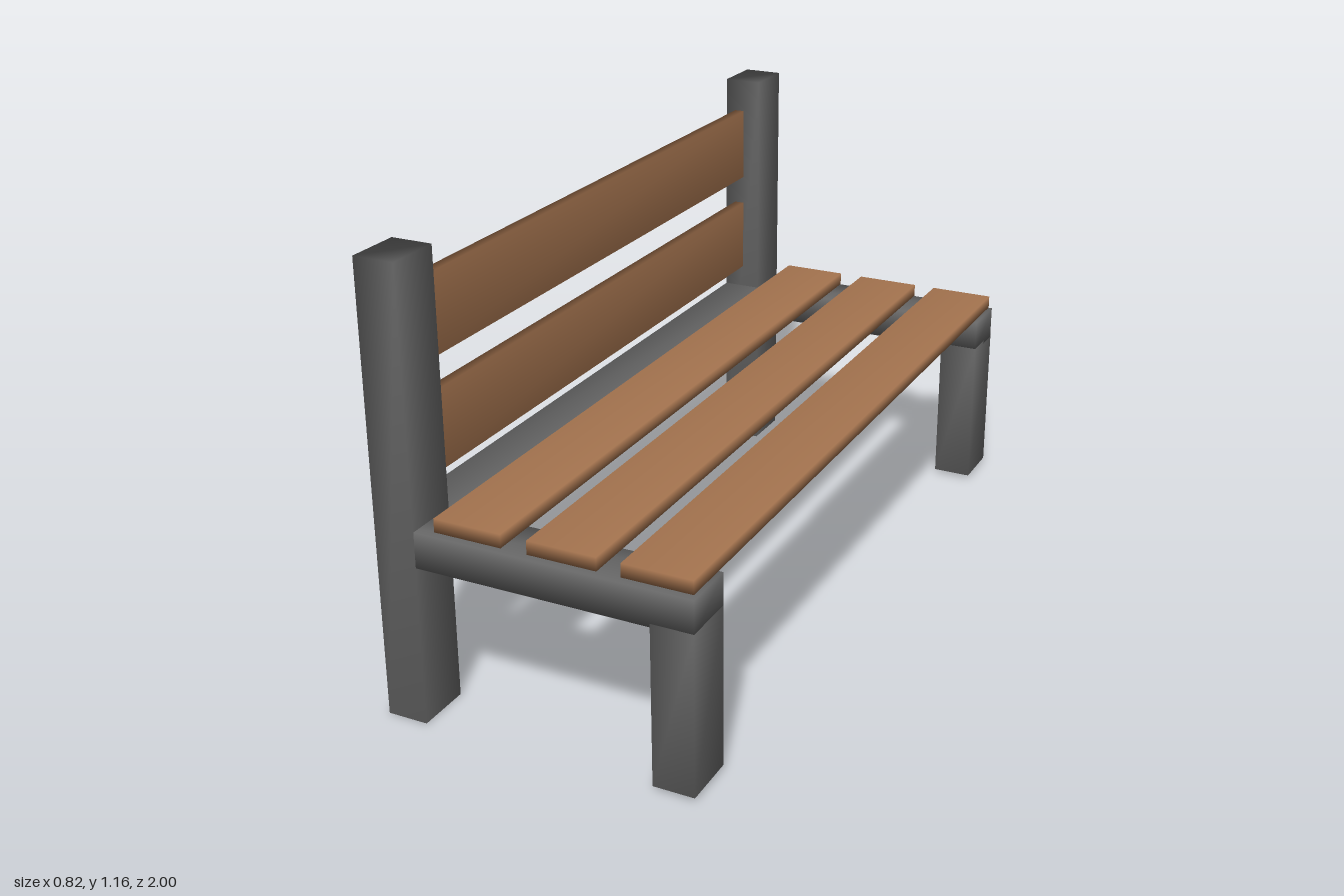
import * as THREE from 'three';
import { mergeVertices } from 'three/addons/utils/BufferGeometryUtils.js';

const metal = new THREE.MeshStandardMaterial({ color: 0x666666 });
const wood = new THREE.MeshStandardMaterial({ color: 0xa5744f });

// Box between two corners, with normals shared across its edges
function bar(name, material, [x0, x1], [y0, y1], [z0, z1]) {
  let geometry = new THREE.BoxGeometry(x1 - x0, y1 - y0, z1 - z0);
  geometry.deleteAttribute('normal');
  geometry.deleteAttribute('uv');
  geometry = mergeVertices(geometry);
  geometry.computeVertexNormals();
  const mesh = new THREE.Mesh(geometry, material);
  mesh.position.set((x0 + x1) / 2, (y0 + y1) / 2, (z0 + z1) / 2);
  mesh.name = name;
  return mesh;
}

export function createModel() {
  const bench = new THREE.Group();
  bench.name = 'bench';

  // End frames: tall back post, short front leg and the beam joining them
  for (const side of [-1, 1]) {
    const span = (inner, outer) => (side > 0 ? [inner, outer] : [-outer, -inner]);
    const frame = new THREE.Group();
    frame.name = side > 0 ? 'frontEndFrame' : 'rearEndFrame';
    frame.add(
      bar('backPost', metal, [-0.413, -0.306], [0, 1.16], span(0.855, 1)),
      bar('seatLeg', metal, [0.305, 0.412], [0.01, 0.427], span(0.855, 1)),
      bar('sideBeam', metal, [-0.413, 0.412], [0.418, 0.51], span(0.856, 0.998))
    );
    bench.add(frame);
  }

  // Long beam under the backrest
  bench.add(bar('backBeam', metal, [-0.413, -0.306], [0.418, 0.51], [-0.86, 0.86]));

  // Seat slats
  for (const x of [-0.169, 0.077, 0.316]) {
    bench.add(bar('seatSlat', wood, [x - 0.089, x + 0.089], [0.515, 0.55], [-0.988, 0.984]));
  }

  // Backrest slats between the posts
  for (const y of [0.677, 0.965]) {
    bench.add(bar('backSlat', wood, [-0.384, -0.356], [y - 0.103, y + 0.103], [-0.86, 0.86]));
  }

  return bench;
}
